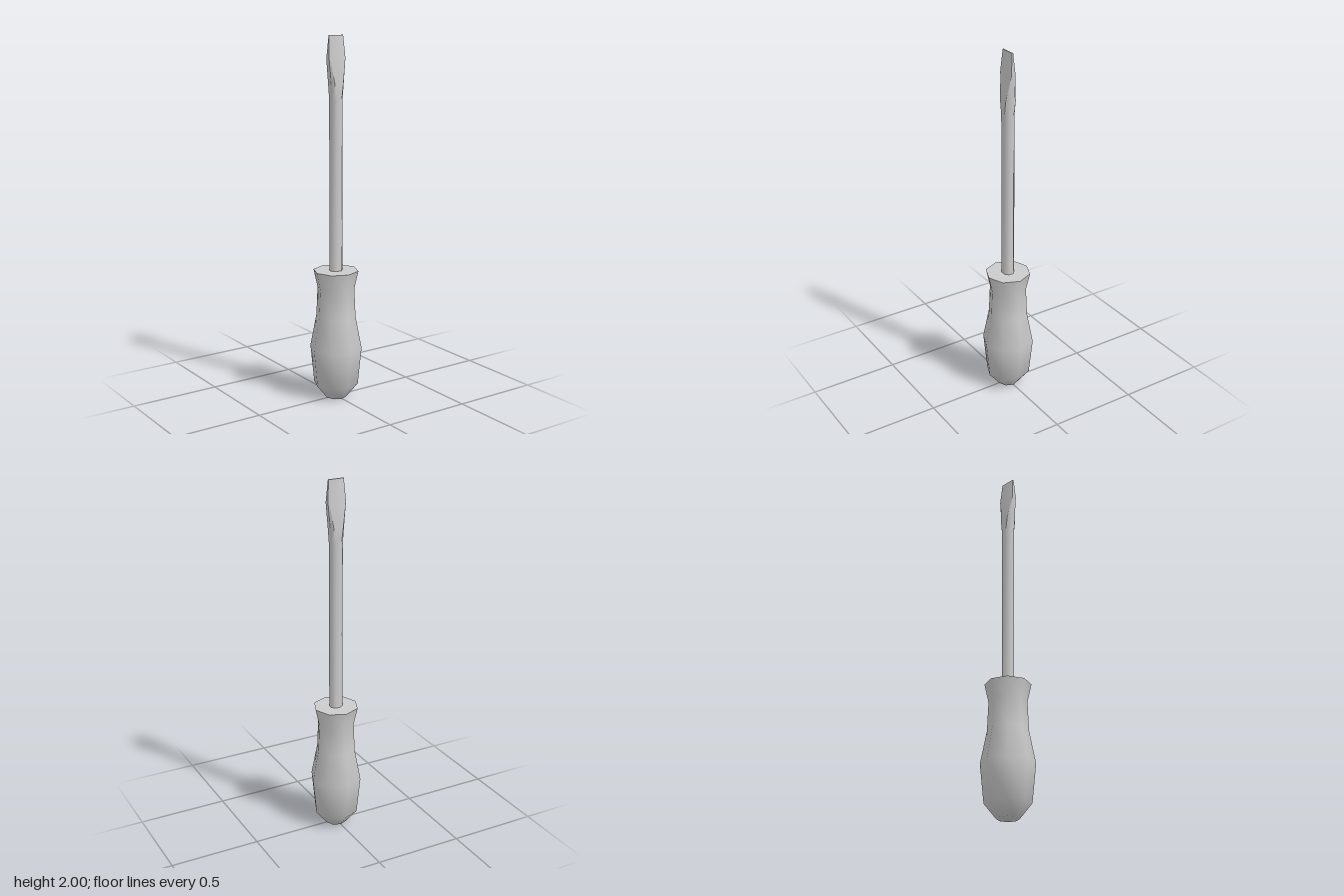
import * as THREE from 'three';
import { toCreasedNormals } from 'three/addons/utils/BufferGeometryUtils.js';

const material = new THREE.MeshStandardMaterial({ color: 0xcccccc });

function addPart(group, name, geometry, crease) {
  const mesh = new THREE.Mesh(toCreasedNormals(geometry, crease), material);
  mesh.name = name;
  group.add(mesh);
}

// Chamfered rectangle: half width x with sides reaching z, faces at zFace spanning xFace.
function section([y, x, z, xFace, zFace]) {
  return [
    [x, z], [xFace, zFace], [-xFace, zFace], [-x, z],
    [-x, -z], [-xFace, -zFace], [xFace, -zFace], [x, -z],
  ].map(([px, pz]) => [px, y, pz]);
}

// Skin eight-sided sections from bottom to top and cap both ends.
function loft(sections) {
  const rings = sections.map(section);
  const n = 8;
  const index = [];
  for (let r = 0; r < rings.length - 1; r++) {
    for (let i = 0; i < n; i++) {
      const a = r * n + i, b = r * n + (i + 1) % n;
      index.push(a, a + n, b, b, a + n, b + n);
    }
  }
  const top = (rings.length - 1) * n;
  for (let i = 1; i < n - 1; i++) {
    index.push(0, i, i + 1, top, top + i + 1, top + i);
  }
  const geometry = new THREE.BufferGeometry();
  geometry.setAttribute('position', new THREE.Float32BufferAttribute(rings.flat(2), 3));
  geometry.setIndex(index);
  return geometry;
}

export function createModel() {
  const group = new THREE.Group();
  group.name = 'screwdriver';

  // Eight-sided grip with a pinched neck and flared collar
  const profile = [
    [0, 0], [0.06, 0], [0.124, 0.08], [0.145, 0.29],
    [0.11, 0.47], [0.103, 0.63], [0.125, 0.73], [0, 0.73],
  ].map(([x, y]) => new THREE.Vector2(x, y));
  addPart(group, 'handle', new THREE.LatheGeometry(profile, 8), 1.05);

  // Shaft that widens sideways and thins to a flat blade
  addPart(group, 'shaftAndBlade', loft([
    [0.7, 0.034, 0.013, 0.015, 0.031],
    [1.66, 0.034, 0.013, 0.015, 0.031],
    [1.74, 0.039, 0.015, 0.026, 0.031],
    [1.88, 0.052, 0.013, 0.045, 0.016],
    [2.0, 0.044, 0.003, 0.042, 0.004],
  ]), 0.85);

  return group;
}
